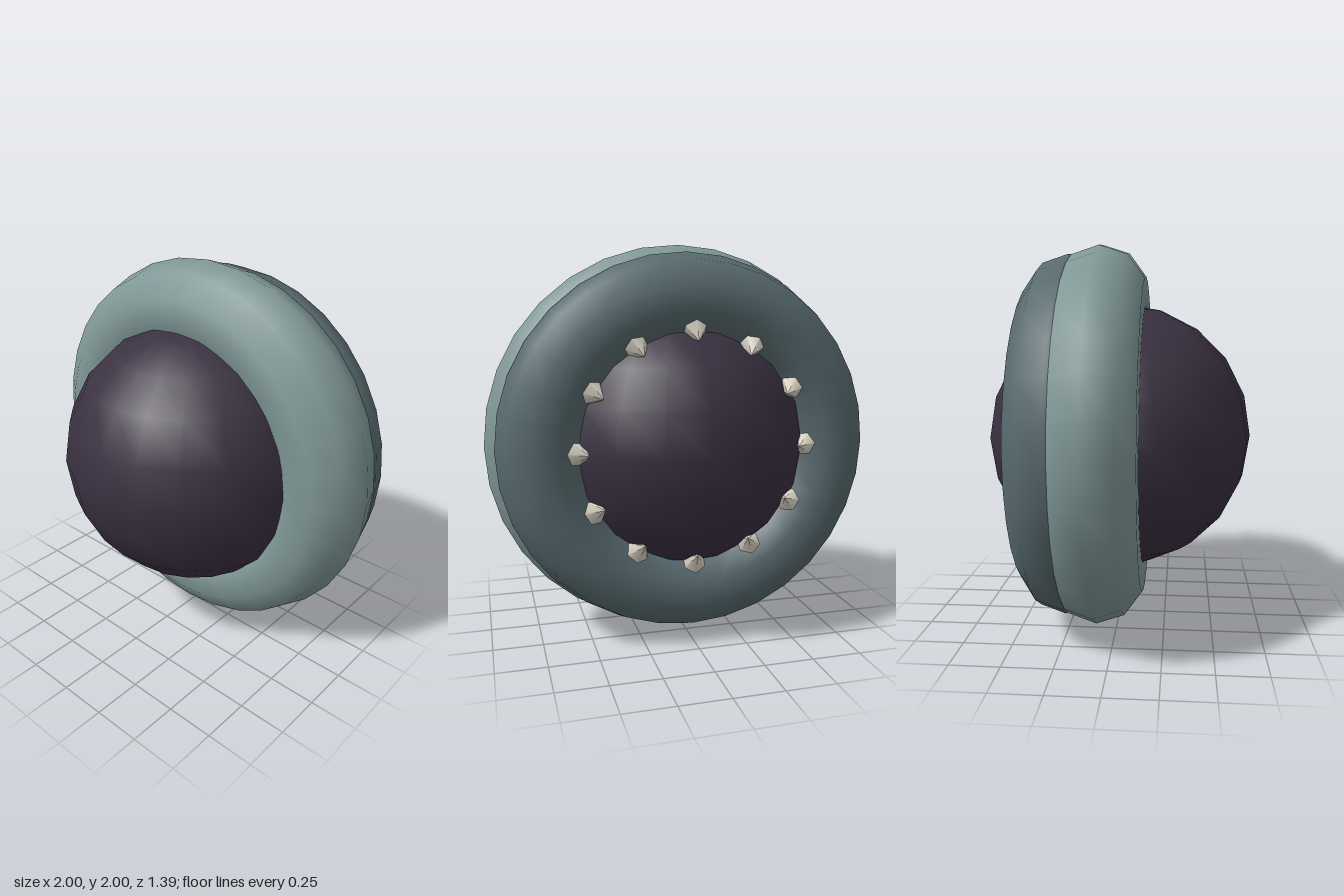
import * as THREE from 'three';

const material = (name, color) => {
  const m = new THREE.MeshStandardMaterial({ color });
  m.name = name;
  return m;
};

export function createModel() {
  const model = new THREE.Group();
  model.name = 'toothedRing';
  const lightSkin = material('light grey green', 0x809897);
  const darkSkin = material('dark grey green', 0x596b70);
  const core = material('dark purple', 0x3a3141);
  const ivory = material('ivory', 0xd8d2c3);

  const add = (name, geometry, mat, z = 0, parent = model) => {
    const mesh = new THREE.Mesh(geometry, mat);
    mesh.name = name;
    mesh.position.z = z;
    parent.add(mesh);
    return mesh;
  };

  // Central ball and the two overlapping rings around it
  add('centralBall', new THREE.SphereGeometry(0.695, 20, 10), core).position.y = 1;
  add('frontRing', new THREE.TorusGeometry(0.76, 0.24, 10, 32), lightSkin, -0.09).position.y = 1;
  add('backRing', new THREE.TorusGeometry(0.735, 0.22, 10, 32), darkSkin, -0.25).position.y = 1;

  // Twelve teeth on the back ring, leaning backward and inward
  const teeth = new THREE.Group();
  teeth.name = 'teeth';
  teeth.position.y = 1;
  model.add(teeth);
  const toothShape = new THREE.ConeGeometry(0.1, 0.14, 6);
  const up = new THREE.Vector3(0, 1, 0);
  for (let i = 0; i < 12; i++) {
    const a = (i / 12) * Math.PI * 2;
    const lean = new THREE.Vector3(-0.588 * Math.cos(a), -0.588 * Math.sin(a), -0.809);
    const tooth = add('tooth', toothShape, ivory, 0, teeth);
    tooth.quaternion.setFromUnitVectors(up, lean);
    // Place by the tip
    tooth.position.set(0.527 * Math.cos(a), 0.527 * Math.sin(a), -0.465).addScaledVector(lean, -0.07);
  }
  return model;
}
